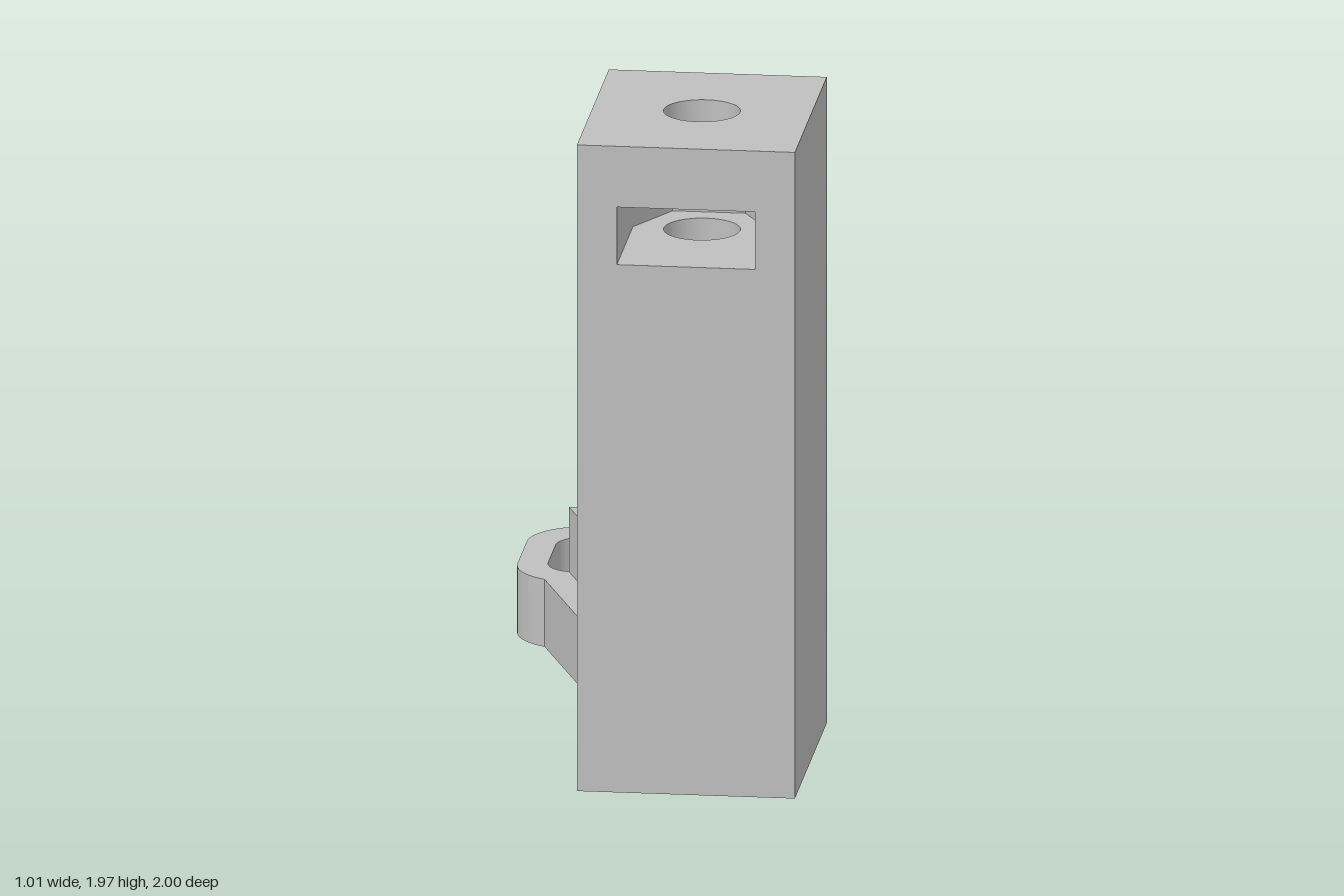
import * as THREE from 'three';
import { toCreasedNormals } from 'three/addons/utils/BufferGeometryUtils.js';

const plastic = new THREE.MeshStandardMaterial({ color: 0xbfbfbf });
plastic.name = 'greyPlastic';

// Post footprint and bore; plans are drawn in (x, -z)
const LEFT = -0.14, RIGHT = 0.5, BACK = -0.225, FRONT = -1;
const BORE = { x: 0.18, y: -0.61, r: 0.112 };

// Extrude a plan upward from y0 to y1
function slab(name, shape, y0, y1) {
  let geo = new THREE.ExtrudeGeometry(shape, { depth: y1 - y0, bevelEnabled: false, curveSegments: 32 });
  geo.rotateX(-Math.PI / 2);
  geo.translate(0, y0, 0);
  geo = toCreasedNormals(geo, 0.5);
  const mesh = new THREE.Mesh(geo, plastic);
  mesh.name = name;
  return mesh;
}

function polygon(points) {
  return new THREE.Shape(points.map(([x, y]) => new THREE.Vector2(x, y)));
}

function postPlan(bored) {
  const s = polygon([[LEFT, FRONT], [RIGHT, FRONT], [RIGHT, BACK], [LEFT, BACK]]);
  if (bored) s.holes.push(new THREE.Path().absarc(BORE.x, BORE.y, BORE.r, 0, Math.PI * 2, true));
  return s;
}

// Post layer opened at the front by a pocket with a half-hexagon end
function pocketPlan() {
  const w = 0.2025, flat = 0.107, end = BORE.y + 0.175;
  return polygon([
    [LEFT, FRONT], [BORE.x - w, FRONT], [BORE.x - w, BORE.y], [BORE.x - flat, end],
    [BORE.x + flat, end], [BORE.x + w, BORE.y], [BORE.x + w, FRONT],
    [RIGHT, FRONT], [RIGHT, BACK], [LEFT, BACK],
  ]);
}

// Slanted arm ending in a slotted, rounded eye
function armPlan() {
  const cx = -0.335, r = 0.173, far = 0.827, near = 0.605;
  const s = new THREE.Shape();
  s.moveTo(0.236, -0.28);
  s.lineTo(cx + r, 0.75);
  s.lineTo(cx + r, far);
  s.absarc(cx, far, r, 0, Math.PI, false);
  s.lineTo(cx - r, near);
  s.absarc(cx, near, r, Math.PI, 4.264, false);
  s.lineTo(-0.129, -0.28);
  s.closePath();
  const slot = new THREE.Path();
  slot.absarc(cx, 0.805, 0.085, 0, Math.PI, false);
  slot.absarc(cx, 0.62, 0.085, Math.PI, Math.PI * 2, false);
  slot.closePath();
  s.holes.push(slot);
  return s;
}

// Rib along the arm, its end cut by the eye's slot
function ribPlan() {
  const s = new THREE.Shape();
  s.moveTo(-0.034, -0.28);
  s.lineTo(0.136, -0.28);
  s.lineTo(-0.25, 0.707);
  s.lineTo(-0.25, 0.62);
  s.absarc(-0.335, 0.62, 0.085, 0, -Math.PI / 2 - 0.17, true);
  s.closePath();
  return s;
}

export function createModel() {
  const model = new THREE.Group();
  model.name = 'slottedArmPost';

  const post = new THREE.Group();
  post.name = 'post';
  post.add(
    slab('postBase', postPlan(false), 0, 1.0),
    slab('postBoredSection', postPlan(true), 1.0, 1.605),
    slab('nutPocket', pocketPlan(), 1.605, 1.78),
    slab('postTop', postPlan(true), 1.78, 1.965),
  );

  const arm = new THREE.Group();
  arm.name = 'arm';
  arm.add(
    slab('armBar', armPlan(), 0, 0.205),
    slab('armRib', ribPlan(), 0.2, 0.402),
  );

  model.add(post, arm);
  return model;
}
